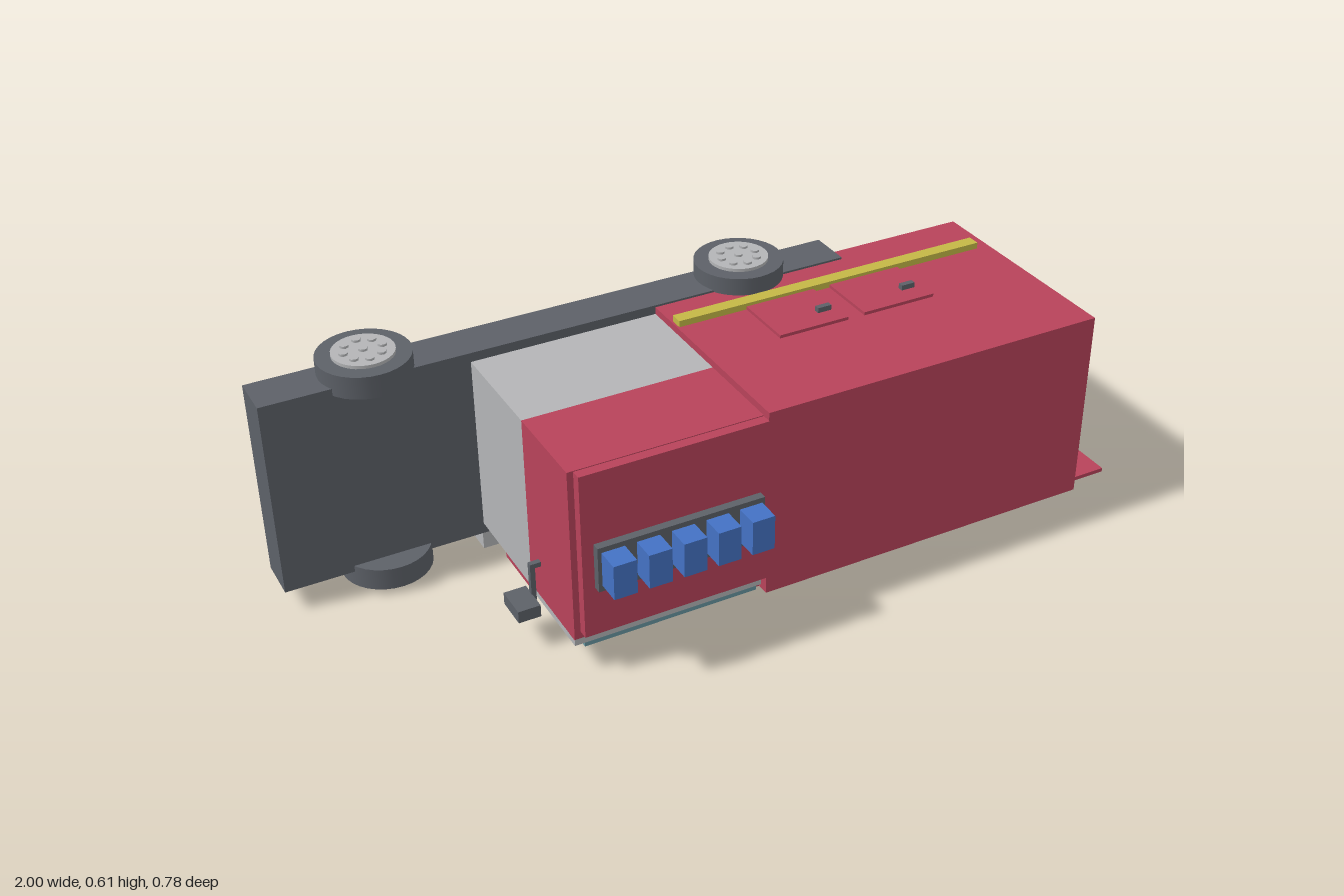
import * as THREE from 'three';

export function createModel() {
  const model = new THREE.Group();
  const mat = (name, color) => {
    const m = new THREE.MeshStandardMaterial({ color });
    m.name = name;
    return m;
  };
  const red = mat('red paint', 0xb8435a);
  const dark = mat('dark grey', 0x5d6168);
  const light = mat('light grey', 0xb4b5b7);
  const blue = mat('blue lamp', 0x4472c4);
  const yellow = mat('yellow stripe', 0xc4b846);
  const teal = mat('teal glass', 0x6796a0);

  // Box given by its extents on each axis
  function box(name, m, x0, x1, y0, y1, z0, z1) {
    const mesh = new THREE.Mesh(new THREE.BoxGeometry(x1 - x0, y1 - y0, z1 - z0), m);
    mesh.position.set((x0 + x1) / 2, (y0 + y1) / 2, (z0 + z1) / 2);
    mesh.name = name;
    model.add(mesh);
    return mesh;
  }

  // Chassis and main body
  box('chassis', dark, -1, 0.49, 0.057, 0.558, -0.338, -0.228);
  box('rearBody', red, -0.03, 0.855, 0.065, 0.553, -0.27, 0.313);

  // Cab: light lower half, red upper half
  box('cabLower', light, -0.503, -0.03, 0.085, 0.535, -0.23, 0.057);
  box('cabUpper', red, -0.503, -0.03, 0.09, 0.535, 0.057, 0.29);
  box('cabRoof', red, -0.488, -0.03, 0.11, 0.533, 0.29, 0.315);

  // Light bar with five lamps
  box('lightBar', dark, -0.46, -0.05, 0.238, 0.353, 0.313, 0.335);
  for (let i = 0; i < 5; i++) {
    const x = -0.423 + i * 0.0845;
    box('roofLamp', blue, x - 0.028, x + 0.028, 0.253, 0.34, 0.335, 0.393);
  }

  // Upper side: stripe, hatches and handles
  box('upperStripe', yellow, -0.025, 0.82, 0.553, 0.569, -0.148, -0.115);
  for (const [x0, x1, hx] of [[0.155, 0.34, 0.305], [0.385, 0.58, 0.54]]) {
    box('upperHatch', red, x0, x1, 0.553, 0.561, -0.14, 0.043);
    box('upperHandle', dark, hx - 0.018, hx + 0.018, 0.56, 0.574, -0.02, -0.006);
    box('lowerHatch', red, x0, x1, 0.049, 0.056, -0.12, 0.043);
    box('lowerHandle', dark, hx - 0.018, hx + 0.018, 0.04, 0.05, -0.02, -0.006);
  }

  // Lower side: long panel, raised panel and stripes
  box('lowerPanel', red, -0.17, 0.977, 0.056, 0.066, -0.23, 0.272);
  box('raisedPanel', red, -0.17, 0.12, 0.045, 0.056, -0.11, 0.215);
  box('lowerStripe', yellow, 0.3, 1, 0.036, 0.055, -0.25, -0.125);
  box('lowerTrim', yellow, -0.02, 0.82, 0.044, 0.056, -0.148, -0.115);

  // Windscreen, grille, headlights, small lamps and bumper on the lower side
  box('windscreen', teal, -0.477, -0.04, 0.06, 0.08, 0.07, 0.285);
  box('windscreenSurround', light, -0.503, -0.03, 0.075, 0.092, 0.055, 0.29);
  box('lowerCabPanel', red, -0.5, -0.03, 0.068, 0.09, -0.1, 0.06);
  box('grille', dark, -0.4, -0.1, 0.047, 0.07, -0.03, 0.045);
  for (const x of [-0.435, -0.085]) {
    box('headlight', light, x - 0.035, x + 0.035, 0.038, 0.07, -0.06, -0.01);
    box('smallLamp', blue, x - 0.02, x + 0.02, 0.03, 0.07, -0.125, -0.095);
  }
  box('bumper', light, -0.503, -0.003, 0.003, 0.085, -0.356, -0.24);

  // Side mirror on its arm
  box('mirror', dark, -0.583, -0.528, 0.082, 0.113, 0.083, 0.165);
  box('mirrorArm', dark, -0.53, -0.518, 0.095, 0.195, 0.107, 0.12);
  box('mirrorBracket', dark, -0.53, -0.5, 0.183, 0.195, 0.107, 0.12);

  // Wheels, axles along y, with hubs and lug nuts facing outwards
  const tireGeo = new THREE.CylinderGeometry(0.11, 0.11, 0.056, 32);
  const hubGeo = new THREE.CylinderGeometry(0.073, 0.073, 0.009, 32);
  const lugGeo = new THREE.CylinderGeometry(0.011, 0.011, 0.007, 8);
  for (const x of [-0.735, 0.225]) {
    for (const s of [1, -1]) {
      const wheel = new THREE.Group();
      wheel.name = 'wheel';
      const add = (name, geo, m, px, py, pz) => {
        const mesh = new THREE.Mesh(geo, m);
        mesh.name = name;
        mesh.position.set(px, py, pz);
        wheel.add(mesh);
      };
      add('tire', tireGeo, dark, 0, 0, 0);
      add('hub', hubGeo, light, 0, 0.0315, 0);
      add('hubCap', lugGeo, light, 0, 0.038, 0);
      for (let i = 0; i < 8; i++) {
        const a = (i * Math.PI) / 4;
        add('lugNut', lugGeo, light, 0.046 * Math.cos(a), 0.038, 0.046 * Math.sin(a));
      }
      wheel.position.set(x, s > 0 ? 0.569 : 0.0455, -0.281);
      if (s < 0) wheel.rotation.x = Math.PI;
      model.add(wheel);
    }
  }

  return model;
}
